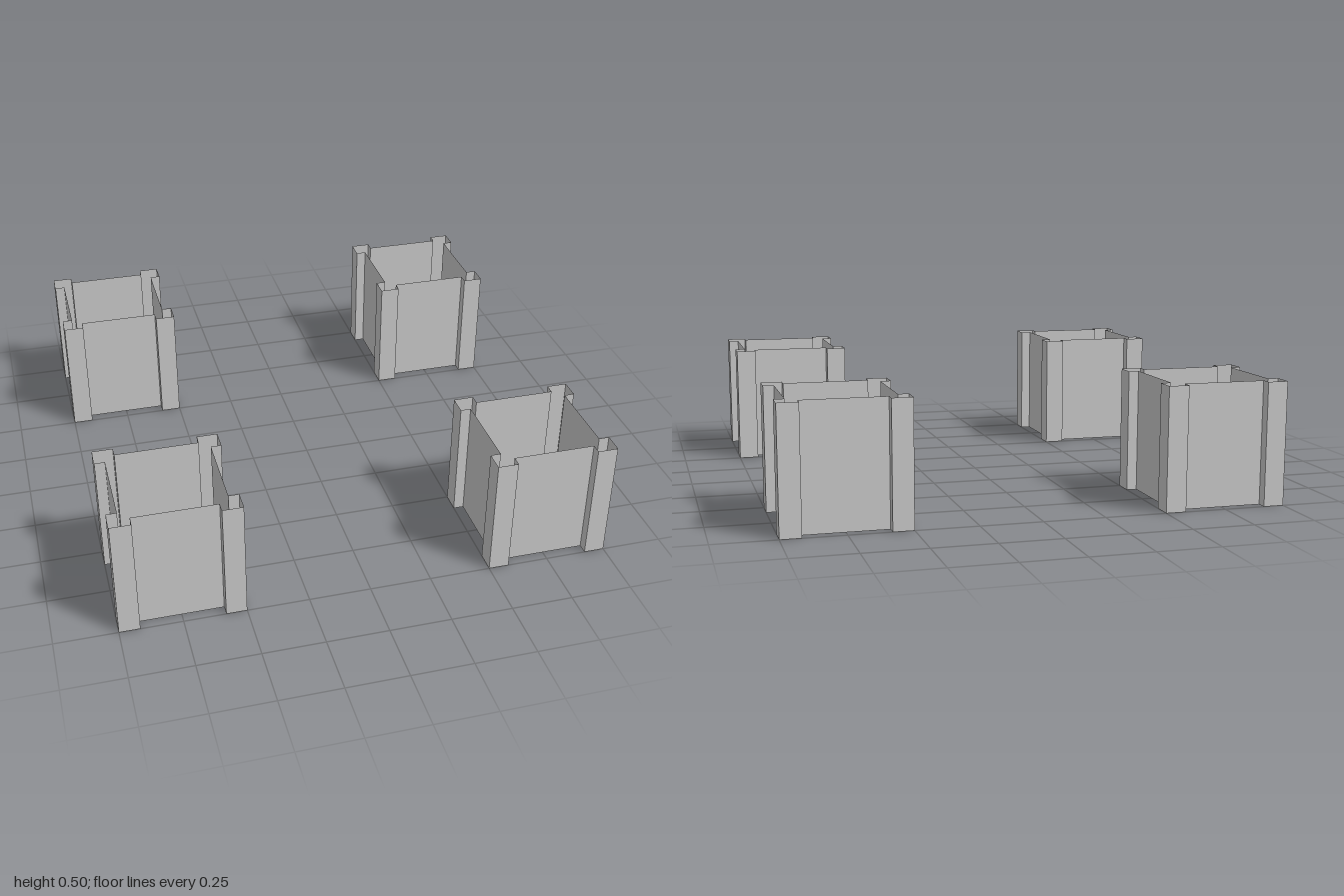
import * as THREE from 'three';

const HALF = 0.25;    // half width over the corner posts
const POST = 0.167;   // inner edge of each corner post
const WALL = 0.208;   // recessed wall plane
const HEIGHT = 0.5;
const OFFSET = 0.75;  // crate centre from the middle

// Plan outline: one corner's steps, turned a quarter circle four times
function planOutline() {
  const corner = [[POST, WALL], [POST, HALF], [HALF, HALF], [HALF, POST], [WALL, POST]];
  const points = [];
  for (let q = 0; q < 4; q++) {
    for (let [x, z] of corner) {
      for (let i = 0; i < q; i++) [x, z] = [z, -x];
      points.push(new THREE.Vector2(x, z));
    }
  }
  return points;
}

// Thin upright sheet following the outline, one flat quad per edge
function wallGeometry(outline) {
  const positions = [];
  outline.forEach((a, i) => {
    const b = outline[(i + 1) % outline.length];
    positions.push(
      a.x, 0, a.y, b.x, 0, b.y, b.x, HEIGHT, b.y,
      a.x, 0, a.y, b.x, HEIGHT, b.y, a.x, HEIGHT, a.y,
    );
  });
  const geometry = new THREE.BufferGeometry();
  geometry.setAttribute('position', new THREE.Float32BufferAttribute(positions, 3));
  geometry.computeVertexNormals();
  return geometry;
}

export function createModel() {
  const model = new THREE.Group();
  model.name = 'openCrates';
  const material = new THREE.MeshStandardMaterial({
    color: 0xcccccc, flatShading: true, side: THREE.DoubleSide,
  });

  const outline = planOutline();
  const walls = wallGeometry(outline);
  const floor = new THREE.ShapeGeometry(new THREE.Shape(outline)).rotateX(Math.PI / 2);

  // Four identical open-topped crates, one in each quadrant
  for (const sx of [-1, 1]) {
    for (const sz of [-1, 1]) {
      const crate = new THREE.Group();
      crate.name = `${sz > 0 ? 'front' : 'back'}${sx > 0 ? 'Left' : 'Right'}Crate`;
      const wallMesh = new THREE.Mesh(walls, material);
      wallMesh.name = 'wallsAndCornerPosts';
      const floorMesh = new THREE.Mesh(floor, material);
      floorMesh.name = 'floor';
      crate.add(wallMesh, floorMesh);
      crate.position.set(sx * OFFSET, 0, sz * OFFSET);
      model.add(crate);
    }
  }
  return model;
}
